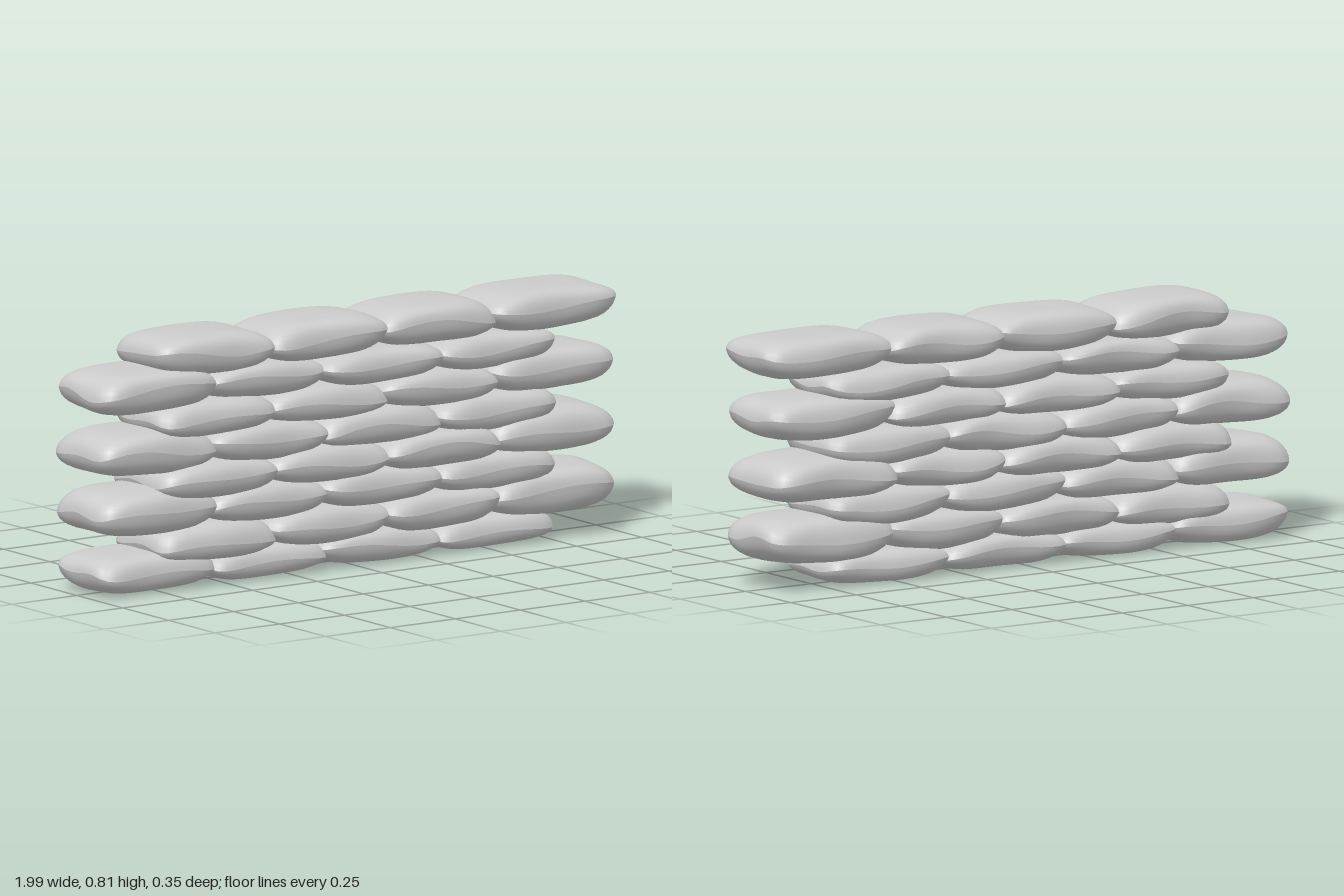
import * as THREE from 'three';
import { mergeVertices, mergeGeometries } from 'three/addons/utils/BufferGeometryUtils.js';

const material = new THREE.MeshStandardMaterial({ color: 0xcccccc });

// Seeded random numbers in -1..1
let seed = 11;
function jitter(amount) {
  seed = (seed * 16807) % 2147483647;
  return (seed / 2147483647 * 2 - 1) * amount;
}

// Half cross-section of a stuffed bag, from the seam to the middle of its face
const PROFILE = [[1, 0], [0.988, 0.2], [0.965, 0.42], [0.925, 0.6], [0.87, 0.75],
  [0.79, 0.865], [0.68, 0.94], [0.52, 0.98], [0.27, 1], [0, 1]];

// One bag filling the box x0..x1, y0..y1, z0..z1; the two cloth halves meet in a sharp seam
function bagGeometry([x0, x1], [y0, y1], [z0, z1], tuck) {
  const halfX = (x1 - x0) / 2, halfZ = (z1 - z0) / 2, halfY = (y1 - y0) / 2;
  const phase = jitter(3), wave = 0.011 + jitter(0.005), tilt = jitter(0.008);
  const endWave = jitter(0.01), skew = jitter(0.012), seamY = jitter(0.008);

  const deform = (x, y, z) => {
    // Square up the round plan, with slightly drawn-out corners
    const r = Math.hypot(x, z);
    const c = r ? Math.abs(x / r) : 1, s = r ? Math.abs(z / r) : 0;
    const square = 1 / Math.pow(c ** 7 + s ** 7, 1 / 7);
    const px = x * square, pz = z * square;
    const corner = (px * pz) ** 2;
    const pinch = 1 - 0.02 * (1 - corner) * r ** 4;

    // Corners are thinner, and ends tucked between neighbours taper
    const end = px < 0 ? tuck[0] : tuck[1];
    const thick = (1 - 0.28 * corner) * (1 - end * px ** 4);
    const side = r ** 3;
    const ripple = side * (wave * Math.sin(px * 3 + phase + pz) + endWave * Math.sin(pz * 4 + phase)
      + tilt * px + seamY) * (1 - 0.5 * Math.abs(y));
    const lump = 1 + 0.03 * Math.sin(px * 4 + phase * 2) * Math.cos(pz * 3 + phase);
    return [
      (x0 + x1) / 2 + px * halfX * pinch + skew * pz * (1 - px * px),
      THREE.MathUtils.clamp((y0 + y1) / 2 + y * halfY * thick * lump + ripple, y0 - 0.006, y1 + 0.006),
      (z0 + z1) / 2 + pz * halfZ * pinch + 0.006 * Math.sin(px * 4 + phase) * pz * pz,
    ];
  };

  const halves = [1, -1].map((sign) => {
    const points = PROFILE.map(([r, y]) => new THREE.Vector2(r, y * sign));
    if (sign < 0) points.reverse();
    let geometry = new THREE.LatheGeometry(points, 56);
    geometry.deleteAttribute('uv');
    geometry.deleteAttribute('normal');
    geometry = mergeVertices(geometry, 1e-5);
    const p = geometry.attributes.position;
    for (let i = 0; i < p.count; i++) {
      p.setXYZ(i, ...deform(p.getX(i), p.getY(i), p.getZ(i)));
    }
    geometry.computeVertexNormals();
    return geometry;
  });
  return mergeGeometries(halves);
}

export function createModel() {
  seed = 11;
  const wall = new THREE.Group();
  wall.name = 'sandbagWall';

  // Per course: bottom, top, top of the overhanging bag, half depth
  const courses = [
    [0.006, 0.115, 0.13, 0.15], [0.085, 0.212, 0.235, 0.157],
    [0.19, 0.315, 0.335, 0.157], [0.286, 0.41, 0.428, 0.168],
    [0.38, 0.507, 0.52, 0.16], [0.482, 0.602, 0.618, 0.157],
    [0.58, 0.695, 0.715, 0.153], [0.678, 0.809, 0.809, 0.15],
  ];
  // Alternate courses are shifted like brickwork
  const joints = [[-0.975, -0.555, -0.13, 0.31, 0.745], [-0.75, -0.33, 0.105, 0.525, 0.97]];
  const overlap = 0.02;

  courses.forEach(([bottom, top, freeTop, depth], row) => {
    const course = new THREE.Group();
    course.name = `course${row + 1}`;
    const odd = row % 2;
    const edges = joints[odd];
    for (let i = 0; i < 4; i++) {
      const free = i === (odd ? 3 : 0);
      const shift = jitter(0.008);
      const reach = row === 7 && i === 3 ? 0.01 : 0;
      const geometry = bagGeometry(
        [edges[i] - overlap, edges[i + 1] + overlap + reach],
        [bottom, free ? freeTop : top],
        [shift - depth, shift + depth],
        [i === 0 ? 0.12 : 0.35, i === 3 ? 0.12 : 0.35],
      );
      const bag = new THREE.Mesh(geometry, material);
      bag.name = `sandbag${row + 1}_${i + 1}`;
      course.add(bag);
    }
    wall.add(course);
  });
  return wall;
}
